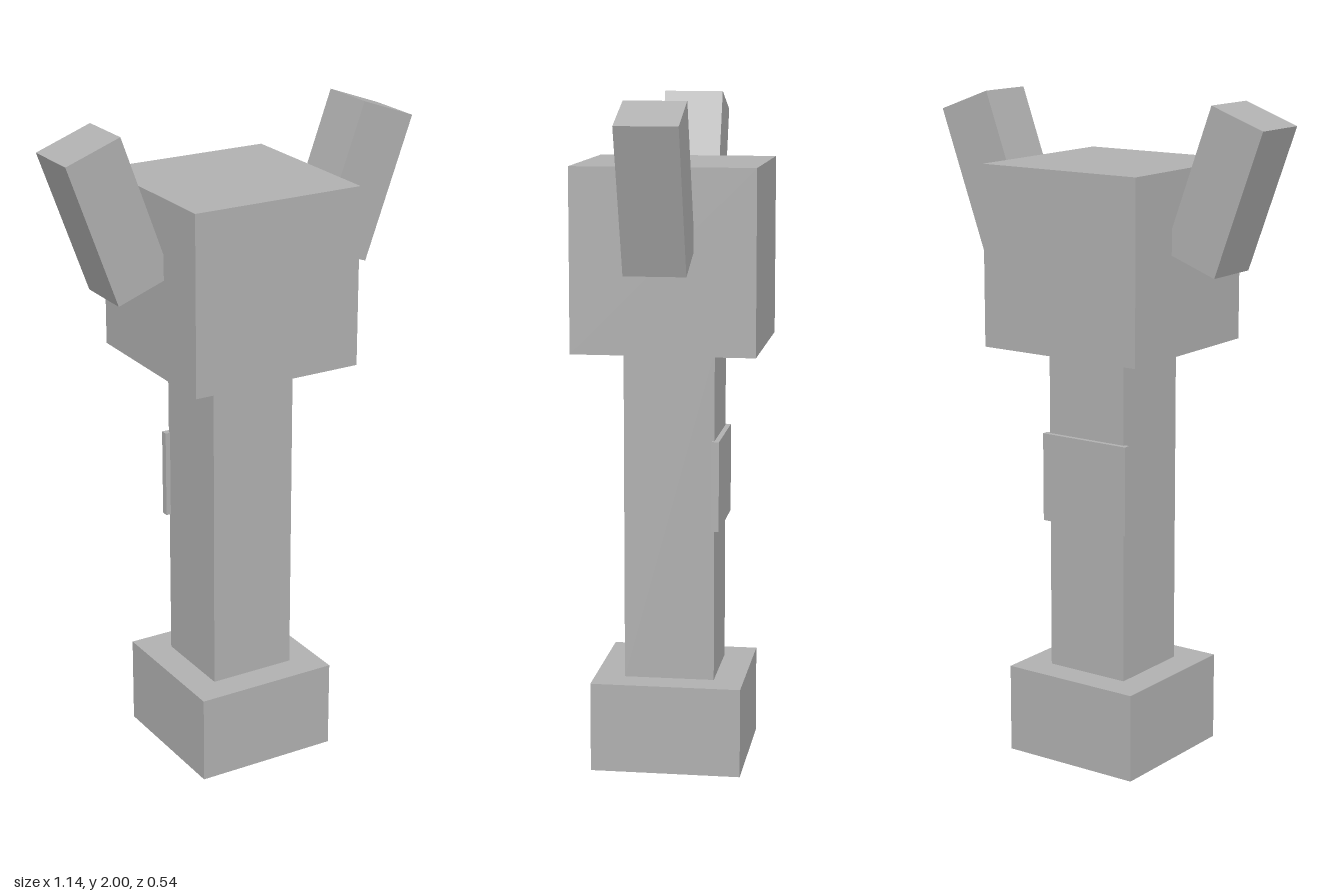
import * as THREE from 'three';

export function createModel() {
  const model = new THREE.Group();
  const grey = new THREE.MeshStandardMaterial({ color: 0xb0b0b0 });
  grey.name = 'plain grey';

  const addBox = (name, size, position, tilt = 0) => {
    const mesh = new THREE.Mesh(new THREE.BoxGeometry(...size), grey);
    mesh.name = name;
    mesh.position.set(...position);
    mesh.rotation.z = tilt;
    model.add(mesh);
  };

  // Foot, post and head stacked upward
  addBox('base', [0.45, 0.27, 0.45], [0, 0.135, 0]);
  addBox('post', [0.27, 1.0, 0.27], [0, 0.77, 0]);
  addBox('head', [0.54, 0.54, 0.54], [0, 1.54, 0]);

  // Thin plate on the back of the post
  addBox('backPlate', [0.3, 0.27, 0.022], [0, 0.865, -0.139]);

  // Ears leaning outward
  for (const [side, name] of [[1, 'leftEar'], [-1, 'rightEar']]) {
    addBox(name, [0.18, 0.45, 0.18], [side * 0.407, 1.758, 0], -side * Math.PI / 9);
  }

  return model;
}
